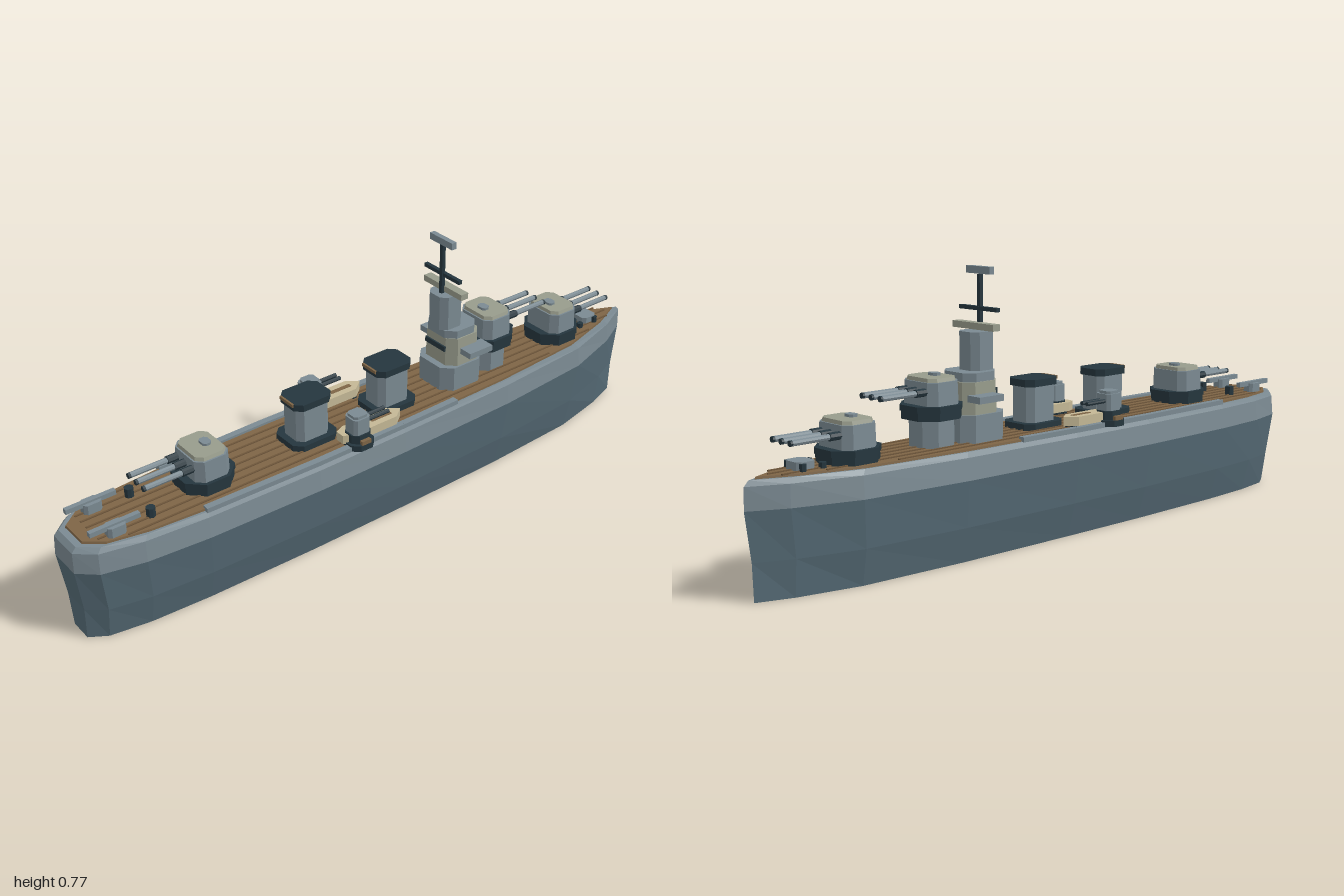
import * as THREE from 'three';

const mat = (name, color) => Object.assign(new THREE.MeshStandardMaterial({ color, flatShading: true }), { name });
const M = {
  lower: mat('lower hull blue grey', 0x566b76),
  grey: mat('ship grey', 0x7b8a92),
  deck: mat('wooden deck', 0x7e6546),
  seam: mat('deck batten', 0x6f573b),
  dark: mat('dark steel', 0x25363e),
  pale: mat('pale grey green', 0x989c8c),
  beige: mat('boat beige', 0xc4b896),
};
// the hull is open underneath, so its skins show on both sides
for (const m of [M.lower, M.grey, M.deck]) m.side = THREE.DoubleSide;

// half widths of the hull from bow to stern: [z, x]
const PLAN = [[-1, 0], [-0.9, 0.05], [-0.72, 0.105], [-0.4, 0.132], [0, 0.143], [0.3, 0.146],
  [0.65, 0.138], [0.83, 0.123], [0.95, 0.095], [1, 0.05]];
const ring = (y, sx, sz) => [
  ...PLAN.map(([z, x]) => [x * sx, y, z * sz]),
  ...PLAN.slice(1).reverse().map(([z, x]) => [-x * sx, y, z * sz]),
];
const halfWidth = (z) => {
  const i = Math.max(1, PLAN.findIndex((p) => p[0] >= z));
  const [a, b] = [PLAN[i - 1], PLAN[i]];
  return a[1] + (b[1] - a[1]) * (z - a[0]) / (b[0] - a[0]);
};

// skin through stacked rings, with optional bottom and top caps
function loft(rings, bottom, top) {
  const v = [];
  const tri = (...p) => {
    // skip triangles that collapse at the bow point
    const [a, b, c] = p.map((q) => new THREE.Vector3(...q));
    if (b.sub(a).cross(c.sub(a)).length() > 1e-9) p.forEach((q) => v.push(...q));
  };
  const n = rings[0].length;
  const lo = rings[0], hi = rings[rings.length - 1];
  for (let i = 0; i < n; i++) {
    const j = (i + 1) % n;
    for (let r = 0; r < rings.length - 1; r++) {
      const a = rings[r], b = rings[r + 1];
      tri(a[i], b[i], b[j]);
      tri(a[i], b[j], a[j]);
    }
    if (bottom) tri([0, lo[0][1], 0], lo[i], lo[j]);
    if (top) tri([0, hi[0][1], 0], hi[j], hi[i]);
  }
  const g = new THREE.BufferGeometry();
  g.setAttribute('position', new THREE.Float32BufferAttribute(v, 3));
  g.computeVertexNormals();
  return g;
}

function add(parent, name, geo, material, x = 0, y = 0, z = 0) {
  const m = new THREE.Mesh(geo, material);
  m.name = name;
  m.position.set(x, y, z);
  parent.add(m);
  return m;
}
const group = (parent, name) => {
  const g = new THREE.Group();
  g.name = name;
  parent.add(g);
  return g;
};
const box = (p, name, m, w, h, d, x, y, z) => add(p, name, new THREE.BoxGeometry(w, h, d), m, x, y, z);
const post = (p, name, m, r, h, x, y, z) => add(p, name, new THREE.CylinderGeometry(r, r, h, 8), m, x, y, z);

// upright block with cut corners from y0 to y1, tapering to "top"
function block(p, name, m, w, d, cut, y0, y1, x = 0, z = 0, top = 1) {
  const outline = (s, y) => [[1, -1, 1, 0], [1, -1, 0, 1], [1, 1, 0, 1], [1, 1, 1, 0],
    [-1, 1, 1, 0], [-1, 1, 0, 1], [-1, -1, 0, 1], [-1, -1, 1, 0]]
    .map(([a, b, ca, cb]) => [a * (w / 2 - ca * cut) * s, y, b * (d / 2 - cb * cut) * s]);
  return add(p, name, loft([outline(1, y0), outline(top, y1)], true, true), m, x, 0, z);
}

function barrel(p, name, m, r, z0, z1, x, y) {
  const b = post(p, name, m, r, Math.abs(z1 - z0), x, y, (z0 + z1) / 2);
  b.rotation.x = Math.PI / 2;
}

// triple gun turret, built facing +z
function turret(parent, name, y, z, forward) {
  const t = group(parent, name);
  t.position.set(0, y, z);
  if (forward) t.rotation.y = Math.PI;
  block(t, 'turretRing', M.dark, 0.15, 0.15, 0.04, 0, 0.022);
  block(t, 'turretCollar', M.dark, 0.156, 0.156, 0.042, 0.022, 0.038);
  block(t, 'turretBody', M.grey, 0.136, 0.108, 0.021, 0.038, 0.1, 0, 0, 0.97);
  block(t, 'turretRoof', M.pale, 0.122, 0.096, 0.018, 0.1, 0.11, 0, 0, 0.95);
  block(t, 'roofHatch', M.grey, 0.034, 0.026, 0.007, 0.11, 0.117, 0, -0.012);
  for (const x of [-0.037, 0, 0.037]) {
    barrel(t, 'barrelSleeve', M.dark, 0.011, 0.045, 0.085, x, 0.075);
    barrel(t, 'gunBarrel', M.grey, 0.008, 0.08, 0.194, x, 0.075);
    barrel(t, 'muzzle', M.dark, 0.008, 0.194, 0.201, x, 0.075);
  }
}

function funnel(parent, z) {
  const f = group(parent, 'funnel');
  f.position.set(0.003, 0, z);
  block(f, 'funnelBase', M.dark, 0.122, 0.148, 0.022, 0.31, 0.328);
  block(f, 'funnelBody', M.grey, 0.088, 0.108, 0.017, 0.328, 0.432);
  block(f, 'funnelCap', M.dark, 0.1, 0.124, 0.02, 0.43, 0.45);
  box(f, 'funnelLip', M.deck, 0.06, 0.009, 0.006, 0, 0.446, 0.062);
}

export function createModel() {
  const ship = new THREE.Group();
  ship.name = 'warship';

  // hull and deck
  add(ship, 'lowerHull', loft([ring(0, 0.68, 0.98), ring(0.1, 0.87, 0.983), ring(0.23, 1, 1)], false, false), M.lower);
  add(ship, 'upperHull', loft([ring(0.23, 1, 1), ring(0.29, 0.95, 0.998), ring(0.304, 0.9, 0.985)], false, true), M.grey);
  add(ship, 'deck', loft([ring(0.304, 0.855, 0.967), ring(0.31, 0.85, 0.965)], false, true), M.deck);
  for (let i = -3; i <= 3; i++) {
    const x = i * 0.03;
    let z0 = -0.93, z1 = 0.93;
    while (halfWidth(z0) * 0.83 < Math.abs(x) + 0.005) z0 += 0.01;
    while (halfWidth(z1) * 0.83 < Math.abs(x) + 0.005) z1 -= 0.01;
    box(ship, 'deckBatten', M.seam, 0.005, 0.004, z1 - z0, x, 0.311, (z0 + z1) / 2);
  }

  // main guns
  turret(ship, 'foreTurret', 0.31, -0.69, true);
  block(ship, 'barbette', M.grey, 0.115, 0.11, 0.03, 0.31, 0.386, 0, -0.415);
  turret(ship, 'raisedTurret', 0.385, -0.415, true);
  turret(ship, 'aftTurret', 0.31, 0.58, false);

  // bridge tower and mast
  const bridge = group(ship, 'bridge');
  block(bridge, 'bridgeBase', M.grey, 0.15, 0.155, 0.03, 0.31, 0.385, 0, -0.278);
  block(bridge, 'bridgeHouse', M.pale, 0.138, 0.125, 0.026, 0.385, 0.472, 0, -0.284, 0.96);
  block(bridge, 'bridgeRoof', M.grey, 0.125, 0.115, 0.026, 0.472, 0.496, 0, -0.28);
  block(bridge, 'controlTower', M.grey, 0.08, 0.082, 0.018, 0.496, 0.6, 0, -0.255);
  box(bridge, 'bridgeWindow', M.dark, 0.085, 0.016, 0.006, 0, 0.438, -0.221);
  box(bridge, 'rangefinder', M.pale, 0.162, 0.018, 0.026, 0, 0.613, -0.255);
  post(bridge, 'mast', M.dark, 0.008, 0.155, 0, 0.673, -0.24);
  box(bridge, 'yard', M.dark, 0.15, 0.011, 0.012, 0, 0.659, -0.243);
  box(bridge, 'radar', M.grey, 0.095, 0.02, 0.016, 0, 0.762, -0.24);

  funnel(ship, -0.038);
  funnel(ship, 0.245);
  block(ship, 'windlass', M.grey, 0.062, 0.055, 0.01, 0.309, 0.332, 0, -0.835);

  // fittings on both sides
  const boat = new THREE.Shape([[-0.027, -0.07], [0, -0.105], [0.027, -0.07], [0.027, 0.08], [0.014, 0.108],
    [-0.014, 0.108], [-0.027, 0.08]].map(([x, y]) => new THREE.Vector2(x, -y)));
  const boatGeo = new THREE.ExtrudeGeometry(boat, { depth: 0.026, bevelEnabled: false }).rotateX(-Math.PI / 2);
  const walkway = [-0.2, 0, 0.3, 0.65];
  for (const s of [-1, 1]) {
    const side = group(ship, s > 0 ? 'leftFittings' : 'rightFittings');
    box(side, 'bridgeWing', M.grey, 0.05, 0.018, 0.085, s * 0.086, 0.431, -0.3);

    // raised strip along the deck edge
    for (let i = 0; i < 3; i++) {
      const [za, zb] = [walkway[i], walkway[i + 1]];
      const [xa, xb] = [za, zb].map((z) => s * halfWidth(z) * 0.86);
      const strip = box(side, 'sideWalkway', M.grey, 0.02, 0.014, Math.hypot(xb - xa, zb - za),
        (xa + xb) / 2, 0.31, (za + zb) / 2);
      strip.rotation.y = Math.atan2(xb - xa, zb - za);
    }

    // ship's boat
    add(side, 'boat', boatGeo, M.beige, s * 0.093, 0.318, 0.09);
    box(side, 'boatWell', M.deck, 0.014, 0.004, 0.07, s * 0.093, 0.343, 0.055);
    for (const z of [0.02, 0.16]) box(side, 'boatCradle', M.dark, 0.045, 0.012, 0.012, s * 0.093, 0.314, z);

    // secondary gun mount
    block(side, 'mountBase', M.dark, 0.078, 0.08, 0.02, 0.304, 0.322, s * 0.114, 0.15);
    block(side, 'mountRing', M.dark, 0.062, 0.065, 0.016, 0.322, 0.348, s * 0.111, 0.15);
    block(side, 'mountHouse', M.grey, 0.054, 0.056, 0.009, 0.348, 0.396, s * 0.111, 0.15);
    block(side, 'mountRoof', M.grey, 0.044, 0.046, 0.008, 0.396, 0.404, s * 0.111, 0.15);
    box(side, 'mountStep', M.deck, 0.012, 0.012, 0.03, s * 0.147, 0.328, 0.15);
    for (const x of [-0.01, 0.01]) barrel(side, 'mountBarrel', M.dark, 0.006, 0.125, 0.05, s * 0.111 + x, 0.376);

    // stern guns and mooring posts
    block(side, 'sternGunBase', M.grey, 0.036, 0.052, 0.008, 0.309, 0.338, s * 0.062, 0.88);
    box(side, 'sternGunRail', M.grey, 0.014, 0.014, 0.145, s * 0.062, 0.337, 0.882);
    post(side, 'sternBollard', M.dark, 0.013, 0.028, s * 0.055, 0.323, 0.773);
    post(side, 'bowBollard', M.dark, 0.009, 0.02, s * 0.032, 0.319, -0.85);
    post(side, 'capstan', M.dark, 0.01, 0.016, s * 0.03, 0.317, -0.79);
  }
  return ship;
}
